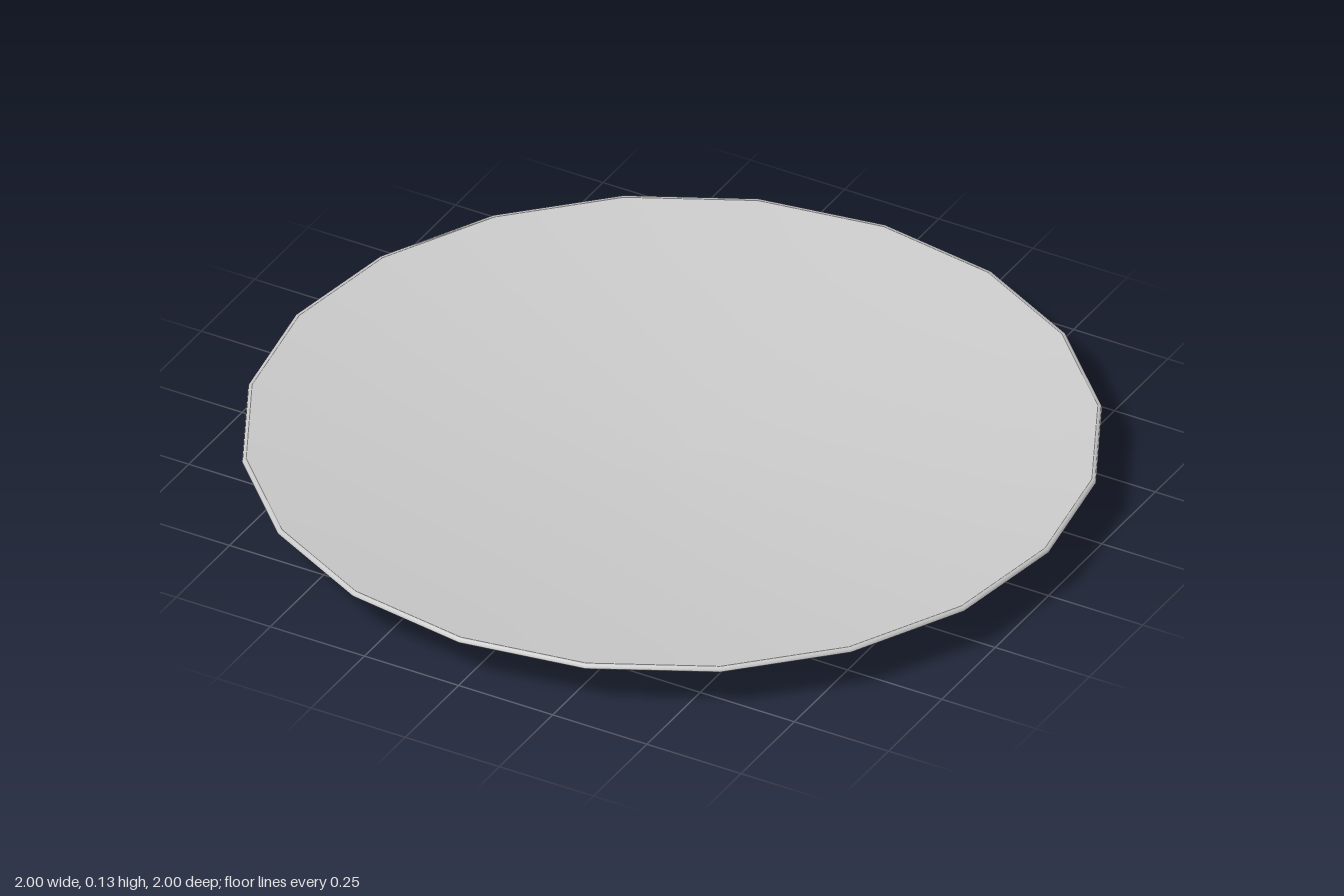
import * as THREE from 'three';

const SIDES = 20;

export function createModel() {
  const group = new THREE.Group();
  group.name = 'saucer';
  const material = new THREE.MeshStandardMaterial({ color: 0xcccccc });

  // Revolve a profile of [radius, height]; separate parts keep the creases sharp
  const addRing = (name, profile) => {
    const points = profile.map(([r, y]) => new THREE.Vector2(r, y));
    const mesh = new THREE.Mesh(new THREE.LatheGeometry(points, SIDES), material);
    mesh.name = name;
    group.add(mesh);
  };

  // Flat base and the softly bulging foot around it
  addRing('footBase', [[0, 0], [0.355, 0]]);
  addRing('footRing', [[0.355, 0], [0.366, 0.01], [0.366, 0.024], [0.352, 0.036]]);

  // Sloping underside that curls up to the rim
  addRing('underside', [[0.345, 0.036], [0.6, 0.06], [0.84, 0.084], [0.93, 0.099], [0.995, 0.114], [1, 0.119]]);

  // Thin rim edge
  addRing('rim', [[1, 0.119], [0.998, 0.128], [0.99, 0.128]]);

  // Shallow dished top, from the rim in to the centre
  const dish = [];
  for (let i = 8; i >= 0; i--) {
    const t = i / 8;
    dish.push([0.99 * t, 0.052 + 0.076 * t ** 1.7]);
  }
  addRing('dish', dish);

  return group;
}
